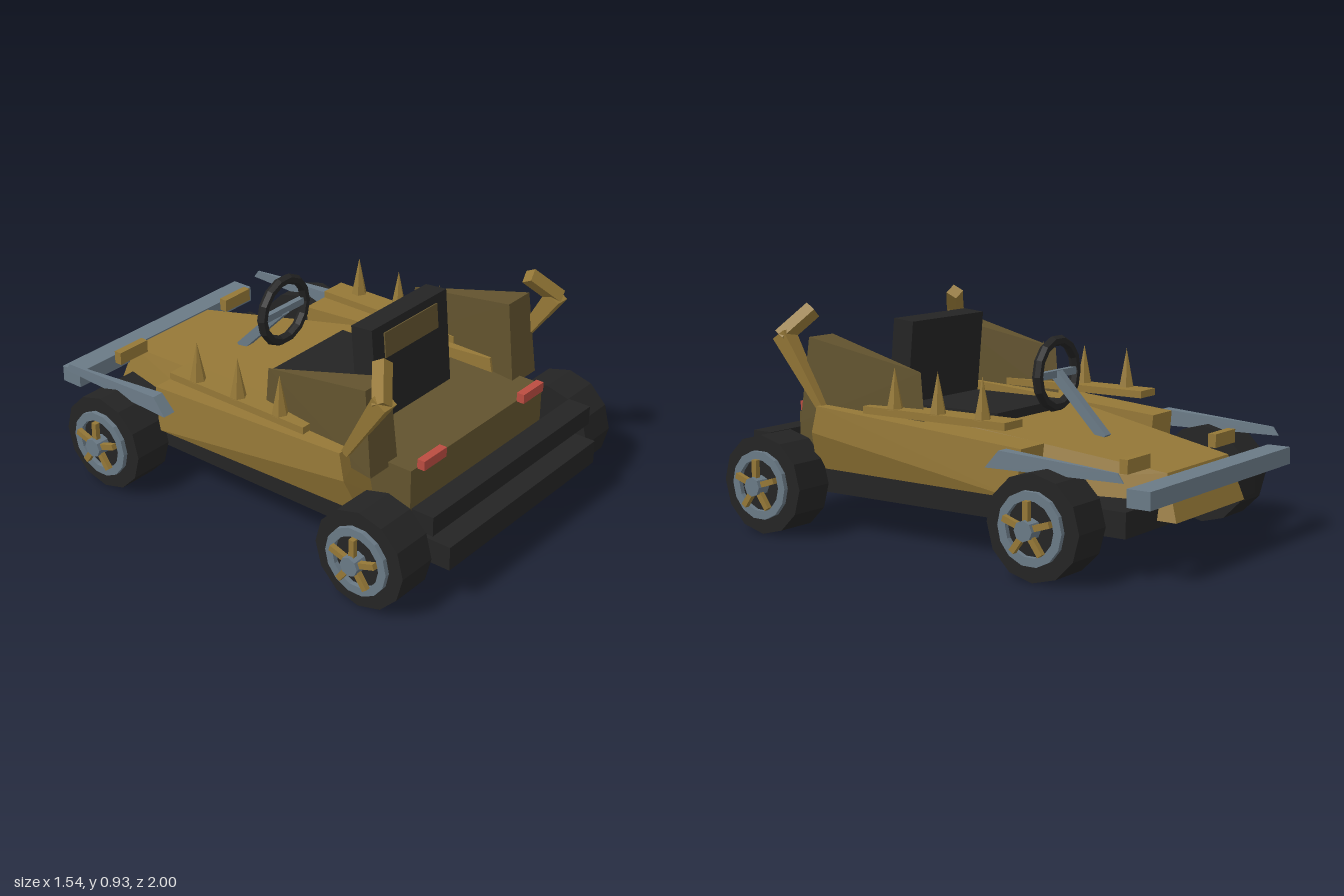
import * as THREE from 'three';
import { ConvexGeometry } from 'three/addons/geometries/ConvexGeometry.js';

const mat = (name, color) => {
  const m = new THREE.MeshStandardMaterial({ color, flatShading: true });
  m.name = name;
  return m;
};

export function createModel() {
  const kart = new THREE.Group();
  kart.name = 'kart';
  const gold = mat('gold', 0x957837);
  const bronze = mat('dark bronze', 0x62532e);
  const black = mat('black', 0x242424);
  const slate = mat('slate metal', 0x6a7a86);
  const red = mat('lamp red', 0xbb4c40);

  const add = (name, geo, material, parent = kart) => {
    const m = new THREE.Mesh(geo, material);
    m.name = name;
    parent.add(m);
    return m;
  };
  // box given by its lower and upper limits
  const box = (name, material, [x0, x1], [y0, y1], [z0, z1], parent) => {
    const m = add(name, new THREE.BoxGeometry(x1 - x0, y1 - y0, z1 - z0), material, parent);
    m.position.set((x0 + x1) / 2, (y0 + y1) / 2, (z0 + z1) / 2);
    return m;
  };
  // faceted solid from corner points, s mirrors it across x
  const hull = (name, material, pts, s = 1) =>
    add(name, new ConvexGeometry(pts.map(([x, y, z]) => new THREE.Vector3(x * s, y, z))), material);
  // tapered bar between two points
  const bar = (name, material, a, b, ra, rb, sides = 4) => {
    const A = new THREE.Vector3(...a), B = new THREE.Vector3(...b);
    const d = B.clone().sub(A);
    const g = new THREE.CylinderGeometry(rb, ra, d.length(), sides);
    if (sides === 4) g.rotateY(Math.PI / 4);
    const m = add(name, g, material);
    m.position.copy(A).add(B).multiplyScalar(0.5);
    m.quaternion.setFromUnitVectors(new THREE.Vector3(0, 1, 0), d.normalize());
    return m;
  };
  // both signs of x as corner pairs
  const pair = (x, y, z) => [[x, y, z], [-x, y, z]];

  // Chassis, bumpers and rear deck
  box('floor', black, [-0.5, 0.5], [0.16, 0.26], [-0.87, 1]);
  box('rearBumper', black, [-0.535, 0.535], [0.305, 0.385], [0.845, 0.945]);
  box('frontBumper', slate, [-0.545, 0.545], [0.29, 0.36], [-1, -0.9]);
  box('rearDeck', bronze, [-0.44, 0.44], [0.25, 0.47], [0.15, 0.77]);

  // Sloping nose
  hull('nose', gold, [
    ...pair(0.235, 0.365, -0.885), ...pair(0.265, 0.185, -0.945),
    ...pair(0.4, 0.5, 0.05), ...pair(0.48, 0.25, 0.1),
  ]);

  // Seat
  box('seatCushion', black, [-0.235, 0.235], [0.4, 0.515], [-0.1, 0.4]);
  const back = new THREE.Group();
  back.name = 'seatBack';
  back.position.set(0, 0.66, 0.39);
  back.rotation.x = -0.09;
  kart.add(back);
  box('backrest', black, [-0.24, 0.24], [-0.2, 0.2], [-0.05, 0.05], back);
  box('backPanel', bronze, [-0.17, 0.17], [0.06, 0.165], [0.05, 0.056], back);

  // Steering
  const ring = add('steeringWheel', new THREE.TorusGeometry(0.135, 0.022, 6, 14), black);
  ring.position.set(0, 0.66, -0.225);
  box('steeringCrossbar', slate, [-0.12, 0.12], [0.645, 0.675], [-0.24, -0.215]);
  bar('steeringColumn', slate, [0, 0.66, -0.225], [0, 0.42, -0.46], 0.028, 0.028);

  for (const s of [1, -1]) {
    const span = (a, b) => (s > 0 ? [a, b] : [-b, -a]);

    // Side pod with its spiked rail
    hull('sidePod', gold, [
      [0.4, 0.455, -0.44], [0.55, 0.455, -0.44], [0.4, 0.265, -0.42], [0.56, 0.265, -0.42],
      [0.39, 0.53, 0.545], [0.585, 0.53, 0.545], [0.39, 0.265, 0.6], [0.53, 0.265, 0.6],
      [0.59, 0.42, 0.57],
    ], s);
    box('spikeRail', gold, span(0.43, 0.545), [0.515, 0.545], [-0.36, 0.335]);
    for (const z of [-0.235, -0.02, 0.195]) {
      const spike = add('spike', new THREE.ConeGeometry(0.035, 0.17, 6), gold);
      spike.position.set(s * 0.515, 0.625, z);
    }

    // Rear fin and its bent horn
    hull('rearFin', bronze, [
      [0.47, 0.69, 0.1], [0.47, 0.46, 0.08], [0.39, 0.8, 0.625], [0.535, 0.8, 0.625],
      [0.385, 0.45, 0.665], [0.55, 0.45, 0.665],
    ], s);
    bar('hornBase', gold, [s * 0.55, 0.52, 0.55], [s * 0.565, 0.81, 0.735], 0.022, 0.05);
    bar('hornTip', gold, [s * 0.58, 0.795, 0.735], [s * 0.475, 0.905, 0.655], 0.038, 0.038);

    // Front blade
    hull('frontBlade', slate, [
      [0.565, 0.385, -0.325], [0.625, 0.385, -0.325], [0.57, 0.455, -0.385], [0.62, 0.455, -0.385],
      [0.594, 0.39, -0.92], [0.6, 0.39, -0.92], [0.594, 0.425, -0.895], [0.6, 0.425, -0.895],
    ], s);

    // Lamps
    box('headlamp', gold, span(0.25, 0.41), [0.38, 0.435], [-0.82, -0.785]);
    box('tailLamp', red, span(0.26, 0.4), [0.465, 0.505], [0.768, 0.802]);

    // Wheels, built along +x and turned for the right side
    for (const z of [0.738, -0.602]) {
      const wheel = new THREE.Group();
      wheel.name = 'wheel';
      wheel.position.set(0, 0.205, z);
      wheel.rotation.y = s > 0 ? 0 : Math.PI;
      kart.add(wheel);
      const disc = (name, m, r, x0, x1, n) => {
        const g = new THREE.CylinderGeometry(r, r, x1 - x0, n).rotateZ(-Math.PI / 2);
        add(name, g, m, wheel).position.x = (x0 + x1) / 2;
      };
      disc('tyre', black, 0.205, 0.535, 0.71, 12);
      disc('axle', slate, 0.025, 0.4, 0.54, 8);
      disc('hub', slate, 0.04, 0.7, 0.77, 8);
      const rim = new THREE.LatheGeometry(
        [[0.107, 0], [0.142, 0], [0.142, 0.025], [0.107, 0.025], [0.107, 0]].map((p) => new THREE.Vector2(...p)), 14);
      add('rim', rim.rotateZ(-Math.PI / 2), slate, wheel).position.x = 0.705;
      for (let i = 0; i < 5; i++) {
        const g = new THREE.BoxGeometry(0.022, 0.09, 0.024).translate(0.744, 0.063, 0);
        add('spoke', g.rotateX((i * Math.PI * 2) / 5), gold, wheel);
      }
    }
  }
  return kart;
}
